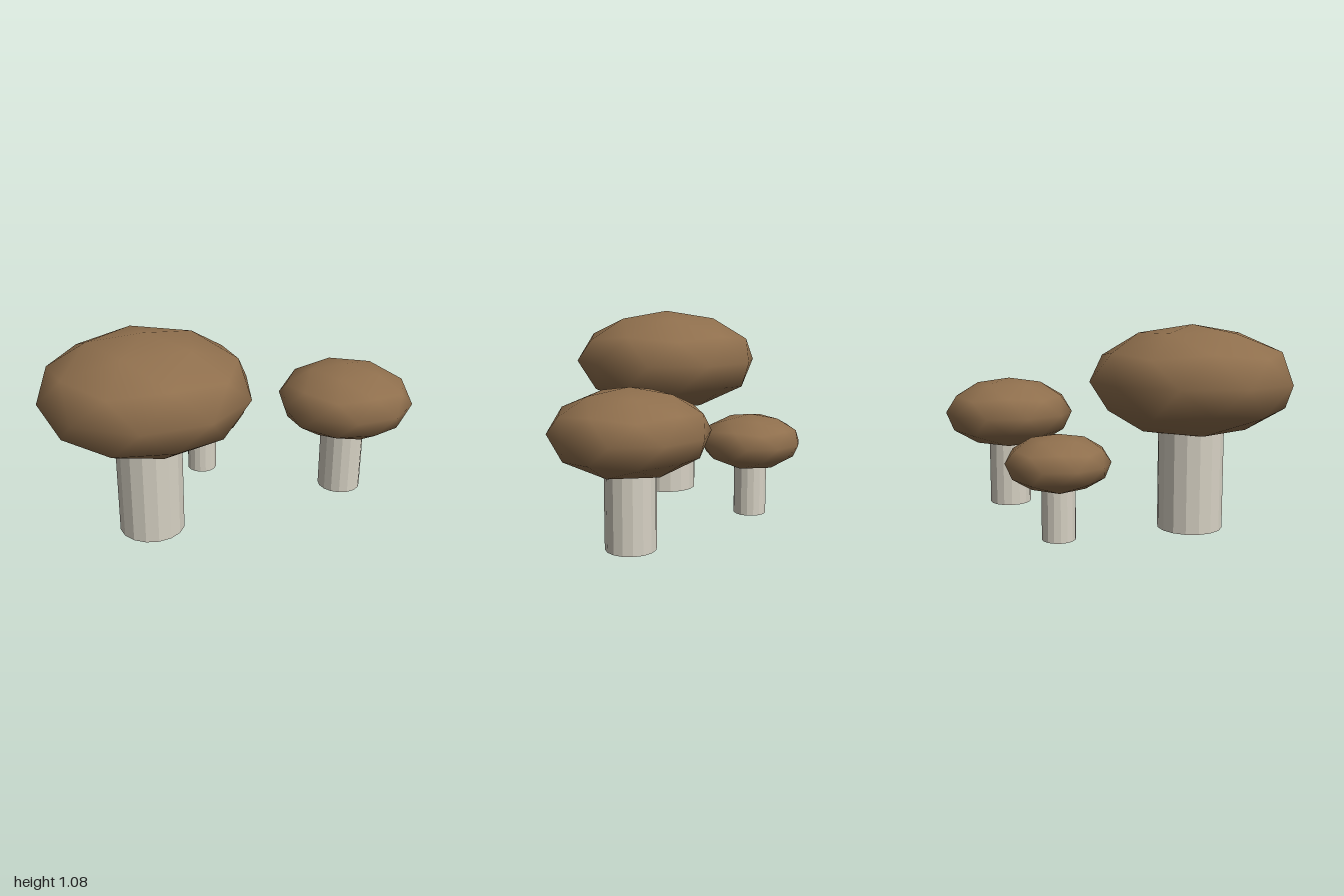
import * as THREE from 'three';

const capMaterial = new THREE.MeshStandardMaterial({ color: 0x8f6f4d });
capMaterial.name = 'capBrown';
const stemMaterial = new THREE.MeshStandardMaterial({ color: 0xd6d1c3, flatShading: true });
stemMaterial.name = 'stemCream';

// Smooth-shaded low-poly ball, turned so one corner points straight up, then flattened
function makeCap(radius, halfHeight) {
  const tilt = Math.atan(2 / (1 + Math.sqrt(5)));
  const geometry = new THREE.IcosahedronGeometry(1, 1);
  geometry.rotateZ(-tilt);
  geometry.scale(radius, halfHeight, radius);
  const cap = new THREE.Mesh(geometry, capMaterial);
  cap.name = 'cap';
  return cap;
}

// Faceted stem standing on the ground and ending inside the cap
function makeStem(radius, height) {
  const geometry = new THREE.CylinderGeometry(radius, radius, height, 16);
  geometry.translate(0, height / 2, 0);
  const stem = new THREE.Mesh(geometry, stemMaterial);
  stem.name = 'stem';
  return stem;
}

function makeMushroom({ name, x, z, capRadius, capHalf, capY, stemRadius }) {
  const mushroom = new THREE.Group();
  mushroom.name = name;
  const cap = makeCap(capRadius, capHalf);
  cap.position.y = capY;
  mushroom.add(cap, makeStem(stemRadius, capY));
  mushroom.position.set(x, 0, z);
  return mushroom;
}

export function createModel() {
  const group = new THREE.Group();
  group.name = 'mushroomCluster';
  const mushrooms = [
    { name: 'largeMushroom', x: -0.487, z: -0.025, capRadius: 0.539, capHalf: 0.295, capY: 0.785, stemRadius: 0.174 },
    { name: 'mediumMushroom', x: 0.638, z: 0.289, capRadius: 0.378, capHalf: 0.207, capY: 0.55, stemRadius: 0.122 },
    { name: 'smallMushroom', x: 0.137, z: -0.4, capRadius: 0.268, capHalf: 0.147, capY: 0.393, stemRadius: 0.087 },
  ];
  for (const spec of mushrooms) group.add(makeMushroom(spec));
  return group;
}
